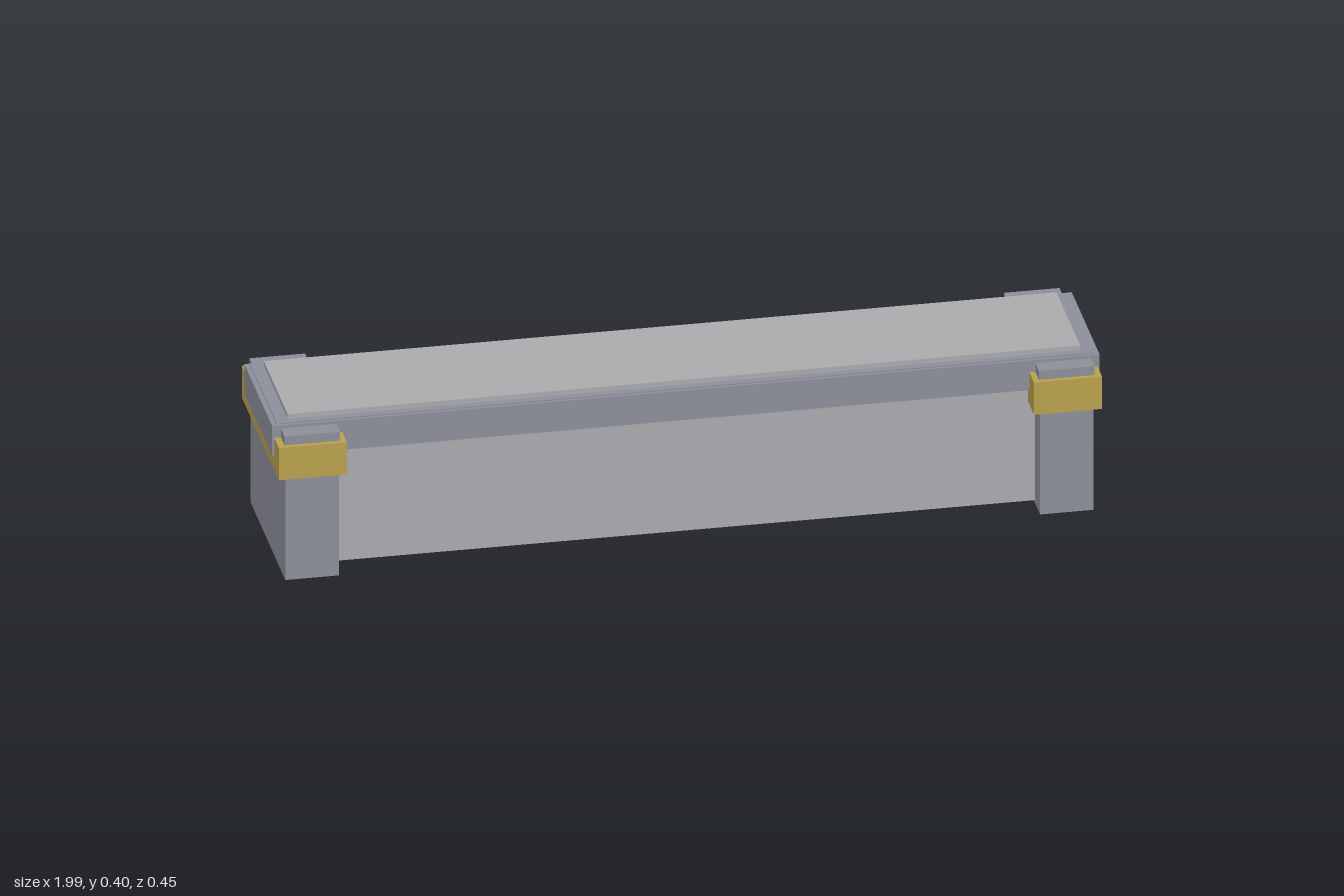
import * as THREE from 'three';

const stone = new THREE.MeshStandardMaterial({ color: 0x8c8e99 });
const panel = new THREE.MeshStandardMaterial({ color: 0xaaaaae });
const gold = new THREE.MeshStandardMaterial({ color: 0xb9a04e });

// Box given by its x, y and z ranges
function block(name, material, [x0, x1], [y0, y1], [z0, z1]) {
  const mesh = new THREE.Mesh(new THREE.BoxGeometry(x1 - x0, y1 - y0, z1 - z0), material);
  mesh.position.set((x0 + x1) / 2, (y0 + y1) / 2, (z0 + z1) / 2);
  mesh.name = name;
  return mesh;
}

// Block at the +x end, or mirrored to the -x end
function endBlock(name, material, side, [x0, x1], y, z) {
  return block(name, material, side > 0 ? [x0, x1] : [-x1, -x0], y, z);
}

export function createModel() {
  const model = new THREE.Group();
  model.name = 'longChest';

  // Long body set back between the end blocks
  model.add(block('body', panel, [-0.86, 0.86], [0.008, 0.312], [-0.152, 0.152]));

  // Lid slab, thin step and raised top panel
  model.add(block('lid', stone, [-0.997, 0.997], [0.308, 0.386], [-0.17, 0.17]));
  model.add(block('lidStep', stone, [-0.985, 0.985], [0.386, 0.389], [-0.163, 0.163]));
  model.add(block('topPanel', panel, [-0.955, 0.955], [0.389, 0.402], [-0.145, 0.145]));

  for (const side of [-1, 1]) {
    const end = new THREE.Group();
    end.name = side > 0 ? 'leftEnd' : 'rightEnd';

    // Solid foot with a gold band around its top
    end.add(endBlock('foot', stone, side, [0.845, 0.974], [0, 0.272], [-0.214, 0.214]));
    end.add(endBlock('goldBand', gold, side, [0.828, 0.992], [0.27, 0.355], [-0.226, 0.226]));

    // Small caps in front of and behind the lid
    end.add(endBlock('frontCap', stone, side, [0.842, 0.976], [0.355, 0.378], [0.16, 0.214]));
    end.add(endBlock('backCap', stone, side, [0.842, 0.976], [0.355, 0.378], [-0.214, -0.16]));
    model.add(end);
  }
  return model;
}
